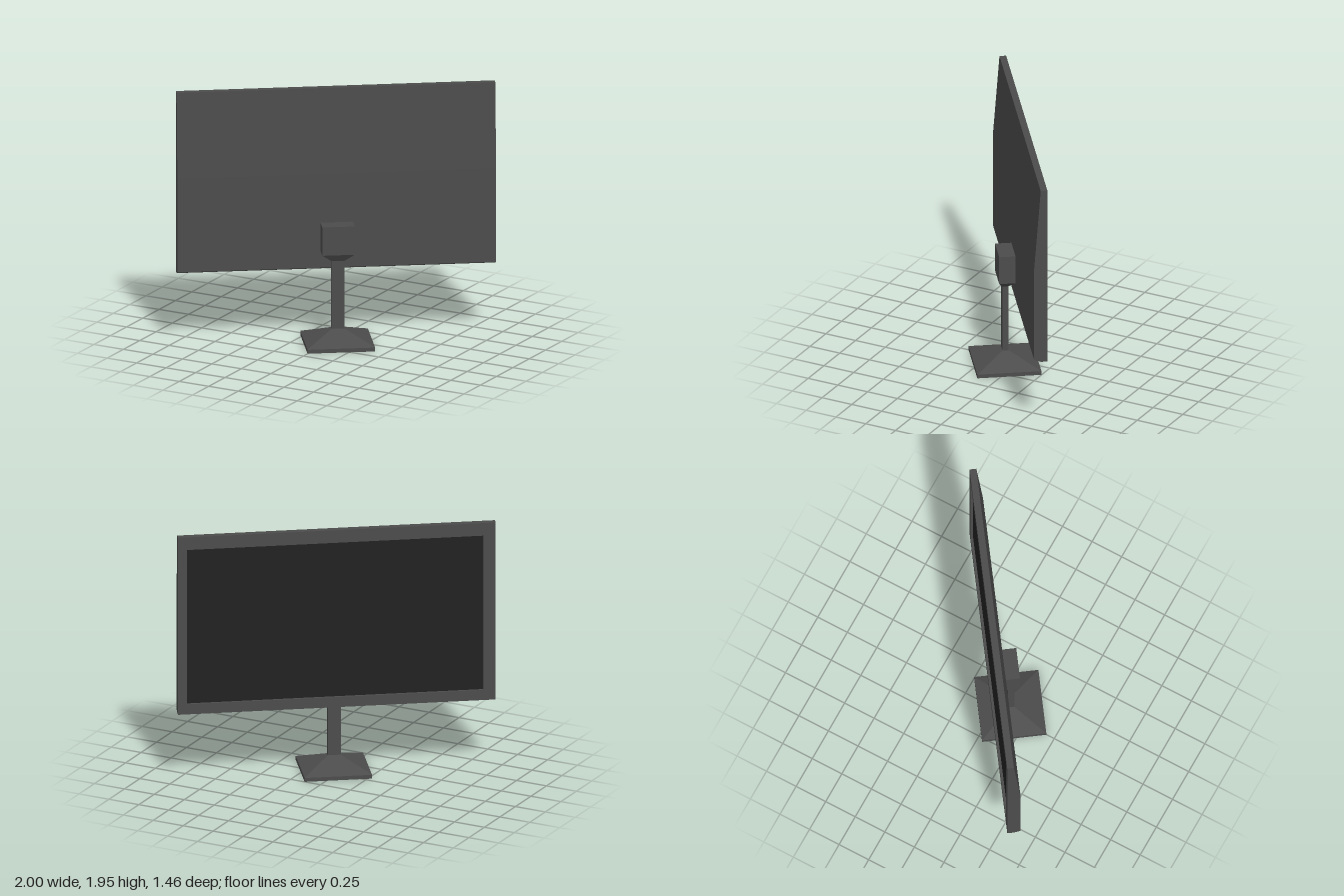
import * as THREE from 'three';

const plastic = new THREE.MeshStandardMaterial({ color: 0x4c4c4c });
plastic.name = 'dark grey plastic';
const glass = new THREE.MeshStandardMaterial({ color: 0x222222 });
glass.name = 'black screen';

function part(name, geometry, material = plastic) {
  const mesh = new THREE.Mesh(geometry, material);
  mesh.name = name;
  return mesh;
}

// Flat-faced block between two horizontal rectangles { y, w, d, z }
function taperedBlock(bottom, top) {
  const g = new THREE.BoxGeometry(1, 1, 1);
  const p = g.attributes.position;
  for (let i = 0; i < p.count; i++) {
    const r = p.getY(i) > 0 ? top : bottom;
    p.setXYZ(i, p.getX(i) * r.w, r.y, r.z + p.getZ(i) * r.d);
  }
  g.computeVertexNormals();
  return g;
}

export function createModel() {
  const model = new THREE.Group();
  model.name = 'monitor';
  const halfW = 1.19, bottomY = 0.55, topY = 1.95;
  const faceZ = -0.05, recessZ = -0.028;

  // Housing: side profile (z, y) extruded across the width
  const profile = [[recessZ, bottomY], [0, bottomY], [0.05, 0.57], [0.05, 1.3], [0, topY], [recessZ, topY]];
  const side = new THREE.Shape(profile.map(([z, y]) => new THREE.Vector2(-z, y)));
  const housing = new THREE.ExtrudeGeometry(side, { depth: halfW * 2, bevelEnabled: false });
  housing.rotateY(Math.PI / 2).translate(-halfW, 0, 0);
  model.add(part('housing', housing));

  // Bezel: raised frame around the recessed screen
  const x0 = -halfW + 0.093, x1 = halfW - 0.068, y0 = bottomY + 0.08, y1 = topY - 0.1;
  const rect = (a, b, c, d) => [[a, b], [c, b], [c, d], [a, d]].map(([x, y]) => new THREE.Vector2(x, y));
  const frame = new THREE.Shape(rect(-halfW, bottomY, halfW, topY));
  frame.holes.push(new THREE.Path(rect(x0, y0, x1, y1)));
  const bezel = new THREE.ExtrudeGeometry(frame, { depth: recessZ - faceZ, bevelEnabled: false });
  bezel.translate(0, 0, faceZ);
  model.add(part('bezel', bezel));

  // Screen: thin plate on the floor of the recess
  const screen = new THREE.BoxGeometry(x1 - x0, y1 - y0, 0.003);
  screen.translate((x0 + x1) / 2, (y0 + y1) / 2, recessZ - 0.0015);
  model.add(part('screen', screen, glass));

  // Stand: foot plate, sloped foot, post, neck and mounting block
  const foot = { w: 0.505, d: 0.48, z: 0.113 };
  const post = { w: 0.097, d: 0.046, z: 0.115 };
  const mount = { w: 0.243, d: 0.124, z: 0.11 };
  const sections = [
    ['footPlate', 0, foot, 0.03, foot],
    ['footSlope', 0.03, foot, 0.12, post],
    ['post', 0.12, post, 0.645, post],
    ['neck', 0.645, post, 0.7, mount],
    ['mountingBlock', 0.7, mount, 0.92, mount],
  ];
  for (const [name, ya, a, yb, b] of sections) {
    model.add(part(name, taperedBlock({ ...a, y: ya }, { ...b, y: yb })));
  }

  // The whole monitor stands turned on its vertical axis
  model.rotation.y = THREE.MathUtils.degToRad(35.4);
  const root = new THREE.Group();
  root.name = 'turnedMonitor';
  root.add(model);
  return root;
}
